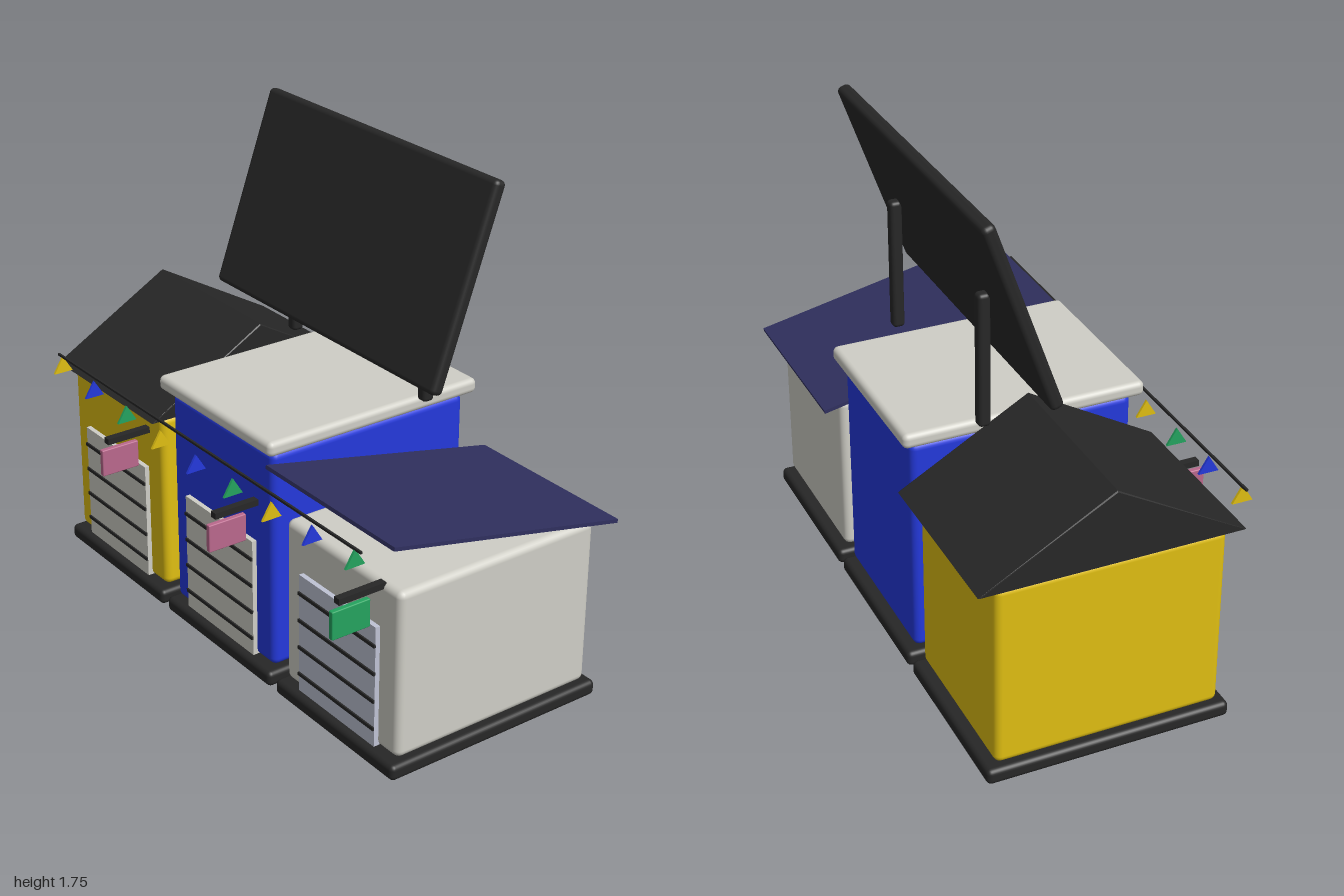
import * as THREE from 'three';
import { RoundedBoxGeometry } from 'three/addons/geometries/RoundedBoxGeometry.js';

const paint = (name, color, side = THREE.FrontSide) => {
  const m = new THREE.MeshStandardMaterial({ color, side });
  m.name = name;
  return m;
};

export function createModel() {
  const yellow = paint('yellow', 0xdfbe12);
  const blue = paint('blue', 0x2439dc);
  const grey = paint('warm light grey', 0xcfcec6);
  const black = paint('charcoal', 0x272727);
  const navy = paint('navy', 0x2f2f5e);
  const paleBlue = paint('pale blue grey', 0xbfc3d4);
  const green = paint('green', 0x24a35f);
  const pink = paint('dusty pink', 0xb9688c);

  const model = new THREE.Group();
  model.name = 'marketKiosks';

  const add = (parent, name, geometry, material, x, y, z) => {
    const mesh = new THREE.Mesh(geometry, material);
    mesh.name = name;
    mesh.position.set(x, y, z);
    parent.add(mesh);
    return mesh;
  };
  const box = (w, h, d) => new THREE.BoxGeometry(w, h, d);
  const rounded = (w, h, d, r) => new RoundedBoxGeometry(w, h, d, 3, r);

  // Triangular prism lying along x, profile given in z and y
  const prism = (points, width, bevel = 0) => {
    const shape = new THREE.Shape(points.map(([z, y]) => new THREE.Vector2(z, y)));
    const g = new THREE.ExtrudeGeometry(shape, {
      depth: width - 2 * bevel, bevelEnabled: bevel > 0, bevelSegments: 1,
      bevelSize: bevel, bevelThickness: bevel, bevelOffset: -bevel,
    });
    g.translate(0, 0, bevel - width / 2);
    return g.rotateY(-Math.PI / 2);
  };

  const midZ = -0.06;
  const kiosks = [
    { name: 'leftKiosk', x: -0.677, top: 0.73, wall: yellow, door: grey, sign: pink },
    { name: 'middleKiosk', x: -0.008, top: 0.865, wall: blue, door: grey, sign: pink },
    { name: 'rightKiosk', x: 0.662, top: 0.665, wall: grey, door: paleBlue, sign: green },
  ];

  const groups = kiosks.map(({ name, x, top, wall, door, sign }) => {
    const g = new THREE.Group();
    g.name = name;
    g.position.x = x;
    model.add(g);
    add(g, 'base', rounded(0.637, 0.056, 0.866, 0.018), black, 0, 0.028, midZ);
    add(g, 'walls', rounded(0.6, top - 0.062, 0.797, 0.025), wall, 0, (top + 0.062) / 2, midZ);

    // Roller shutter with dark grooves
    add(g, 'shutter', box(0.404, 0.44, 0.024), door, 0, 0.287, 0.344);
    for (let i = 0; i < 4; i++) {
      add(g, 'shutterGroove', box(0.404, 0.012, 0.008), black, 0, 0.134 + i * 0.102, 0.358);
    }

    // Hanging sign on a projecting bracket
    add(g, 'signBracket', box(0.026, 0.022, 0.18), black, 0.202, 0.656, 0.418);
    add(g, 'sign', rounded(0.02, 0.1, 0.146, 0.004), sign, 0.202, 0.577, 0.458);
    return g;
  });

  // Gable roof, flat roof and sloping roof
  add(groups[0], 'gableRoof', prism([[-0.458, 0], [0.458, 0], [0, 0.262]], 0.646, 0.004),
    black, 0, 0.735, -0.066);
  add(groups[1], 'flatRoof', rounded(0.664, 0.054, 0.866, 0.02), grey, 0, 0.898, midZ);
  const slope = Math.atan2(0.198, 0.92);
  add(groups[2], 'slopingRoof', box(0.664, 0.013, 0.943), navy, 0.005, 0.759, -0.064)
    .rotation.x = -slope;

  // Tilted solar panel on two posts
  add(model, 'solarPanel', rounded(1.225, 0.715, 0.048, 0.018), black, -0.006, 1.412, -0.199)
    .rotation.x = -0.342;
  for (const side of [-1, 1]) {
    add(model, 'panelPost', rounded(0.044, 0.478, 0.044, 0.014), black,
      -0.008 + side * 0.369, 1.168, -0.234);
  }

  // Bunting: straight cord with flags that sag towards the middle
  const bunting = new THREE.Group();
  bunting.name = 'bunting';
  model.add(bunting);
  add(bunting, 'cord', box(1.805, 0.008, 0.008), black, -0.008, 0.813, 0.439);
  const flag = prism([[-0.037, -0.06], [0.037, -0.06], [0, 0]], 0.009);
  const flagColours = [yellow, blue, green];
  for (let i = 0; i < 9; i++) {
    const sag = 0.04 * Math.sin((Math.PI * i) / 8);
    add(bunting, 'flag', flag, flagColours[i % 3], -0.88 + i * 0.218, 0.814 - sag, 0.441);
  }
  return model;
}
